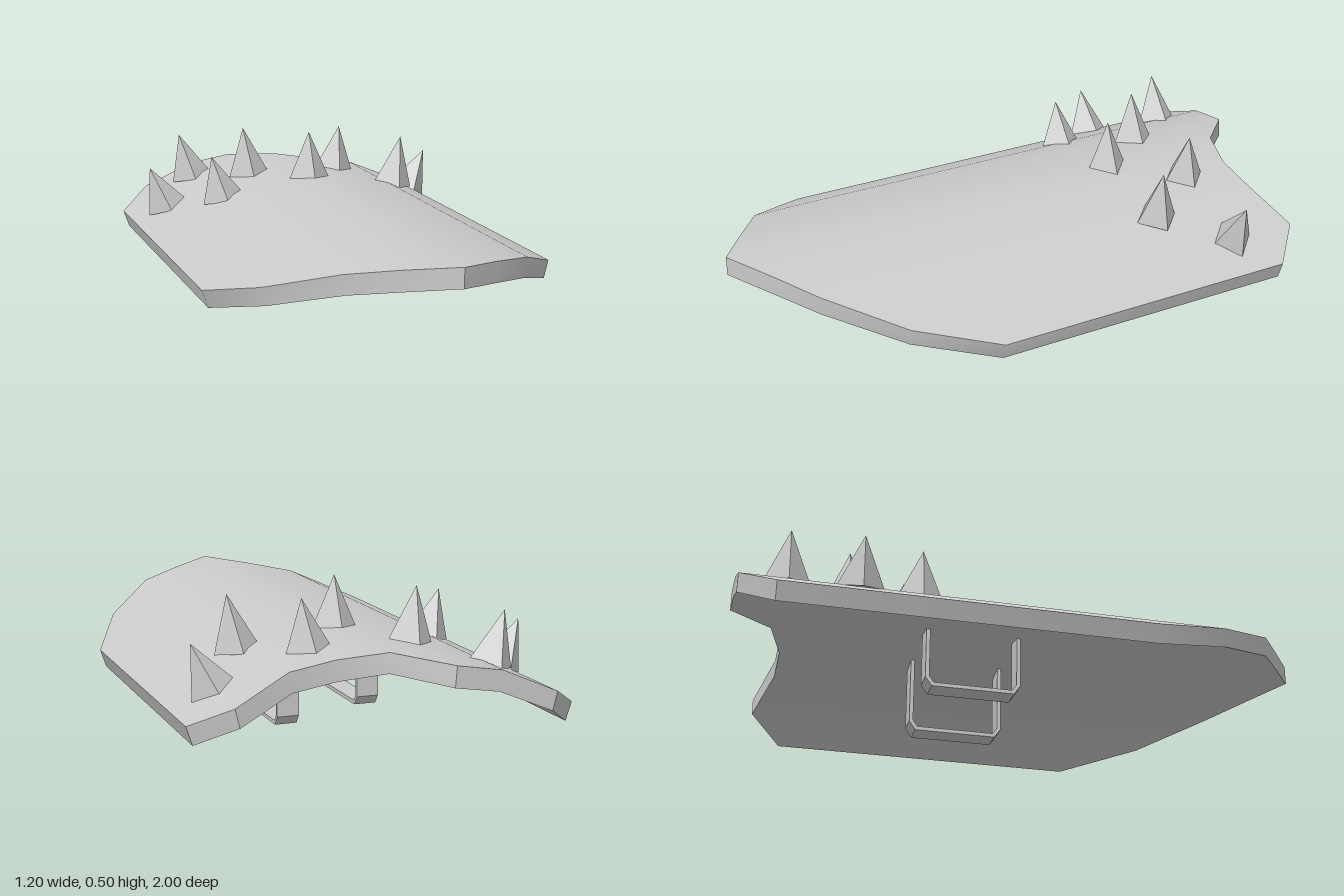
import * as THREE from 'three';
import { toCreasedNormals } from 'three/addons/utils/BufferGeometryUtils.js';

const grey = new THREE.MeshStandardMaterial({ color: 0xcccccc });
const flatGrey = new THREE.MeshStandardMaterial({ color: 0xcccccc, flatShading: true });

// Curved plate from stations across x: [x, front z, back z]
const stations = [
  [-0.6, 0.31, -0.89], [-0.485, 0.58, -1], [-0.3, 0.8, -1], [-0.15, 0.9, -1], [0, 1, -0.855],
  [0.15, 0.9, -0.81], [0.3, 0.8, -0.81], [0.485, 0.58, -0.865], [0.6, 0.31, -0.755],
];
// Half profile from the rim to the ridge: top y, bottom x, bottom y
const profile = [
  [0.145, 0.58, 0.085], [0.215, 0.47, 0.155], [0.295, 0.29, 0.23], [0.32, 0.145, 0.253], [0.34, 0, 0.275],
];

function plateGeometry() {
  const pos = [];
  const quad = (a, b, c, d) => pos.push(...a, ...b, ...c, ...a, ...c, ...d);
  const sections = stations.map(([x, front, back], i) => {
    const [topY, lowX, lowY] = profile[Math.min(i, 8 - i)];
    const bx = Math.sign(x) * lowX;
    return {
      tf: [x, topY, front], tb: [x, topY, back],
      bf: [bx, lowY, front], bb: [bx, lowY, back],
    };
  });
  for (let i = 0; i < sections.length - 1; i++) {
    const a = sections[i], b = sections[i + 1];
    quad(a.tf, b.tf, b.tb, a.tb); // outer face
    quad(a.bf, a.bb, b.bb, b.bf); // inner face
    quad(a.bf, b.bf, b.tf, a.tf); // front rim
    quad(a.bb, a.tb, b.tb, b.bb); // back rim
  }
  const l = sections[0], r = sections[sections.length - 1];
  quad(r.bf, r.bb, r.tb, r.tf);
  quad(l.bf, l.tf, l.tb, l.bb);
  const g = new THREE.BufferGeometry();
  g.setAttribute('position', new THREE.Float32BufferAttribute(pos, 3));
  return toCreasedNormals(g, 0.6);
}

// Four-sided spike from a base centre to its tip
function spike([x, y, z, tipX, tipY]) {
  const dir = new THREE.Vector3(tipX - x, tipY - y, 0);
  const height = dir.length();
  const g = new THREE.ConeGeometry(0.075, height, 4);
  g.translate(0, height / 2, 0);
  const mesh = new THREE.Mesh(g, flatGrey);
  mesh.position.set(x, y, z);
  mesh.rotation.z = -Math.atan2(dir.x, dir.y);
  mesh.name = 'spike';
  return mesh;
}

// U-shaped strap with chamfered corners, extruded across its width
function handle(x, bottom) {
  const t = 0.013, u0 = 0.037, u1 = 0.358, c = 0.022, top = 0.27;
  const shape = new THREE.Shape([
    [u0, top], [u0, bottom + c * 1.4], [u0 + c, bottom], [u1 - c, bottom], [u1, bottom + c * 1.4], [u1, top],
    [u1 - t, top], [u1 - t, bottom + c * 1.6], [u1 - c - t * 0.5, bottom + t],
    [u0 + c + t * 0.5, bottom + t], [u0 + t, bottom + c * 1.6], [u0 + t, top],
  ].map(([u, y]) => new THREE.Vector2(u, y)));
  const g = new THREE.ExtrudeGeometry(shape, { depth: 0.075, bevelEnabled: false });
  g.rotateY(Math.PI / 2);
  const mesh = new THREE.Mesh(g, flatGrey);
  mesh.position.x = x;
  mesh.name = 'handle';
  return mesh;
}

export function createModel() {
  const group = new THREE.Group();
  group.name = 'shield';

  const plate = new THREE.Mesh(plateGeometry(), grey);
  plate.name = 'plate';
  group.add(plate);

  // Spikes: base x, y, z, tip x, y
  const spikes = [
    [-0.488, 0.21, -0.625, -0.55, 0.36],
    [-0.17, 0.315, -0.625, -0.19, 0.49],
    [0.17, 0.31, -0.625, 0.193, 0.475],
    [0.475, 0.21, -0.625, 0.545, 0.36],
    [-0.33, 0.275, -0.41, -0.37, 0.43],
    [0, 0.33, -0.41, 0, 0.5],
    [0.33, 0.28, -0.41, 0.362, 0.46],
    [-0.34, 0.275, -0.84, -0.385, 0.44],
  ];
  spikes.forEach((s) => group.add(spike(s)));

  // Grips under the plate
  group.add(handle(0.1, 0), handle(-0.18, 0.043));
  return group;
}
